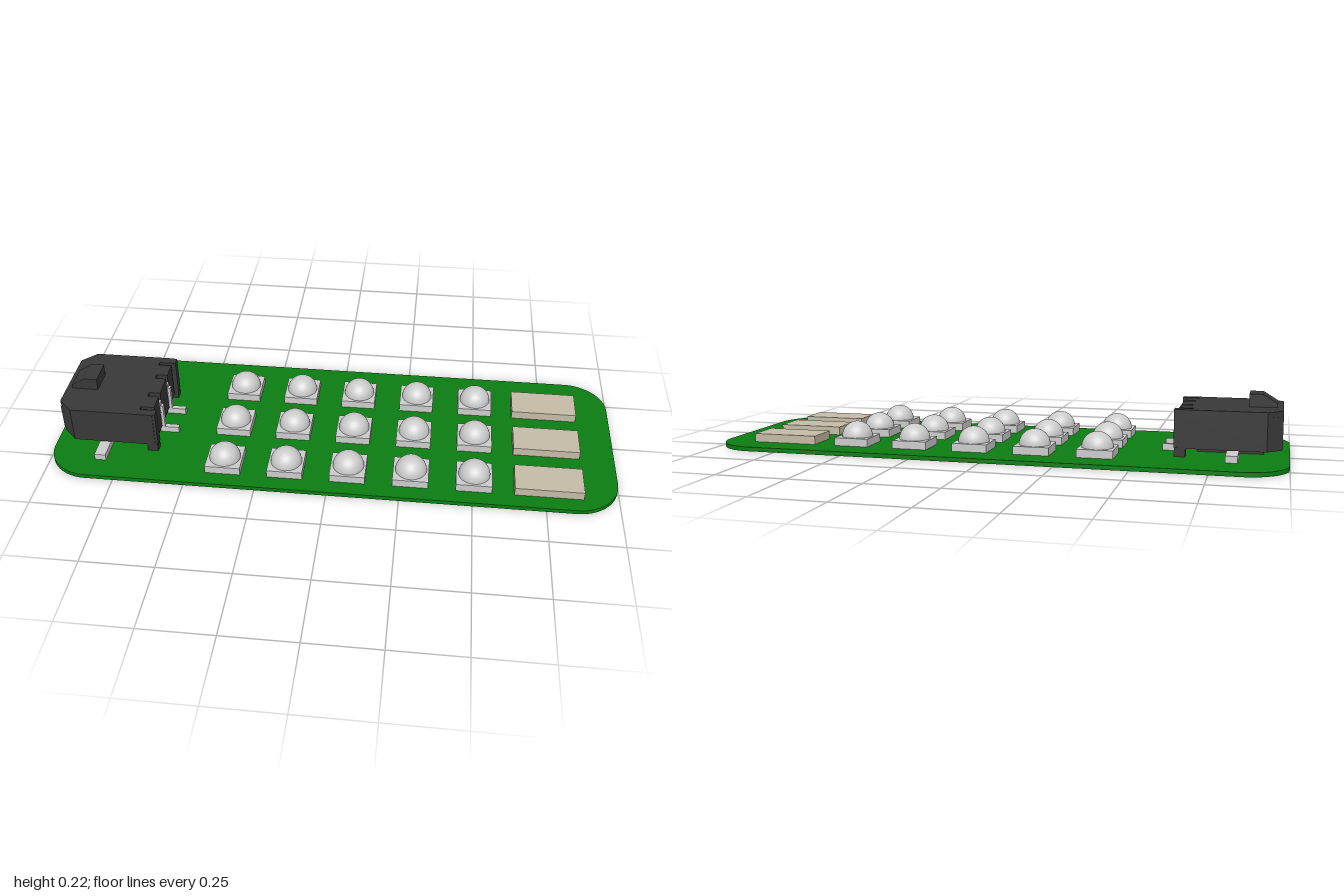
import * as THREE from 'three';

const mat = (color) => new THREE.MeshStandardMaterial({ color });
const green = mat(0x0b7d12), dark = mat(0x383838), metal = mat(0xcccccc);
const lens = mat(0xcccccc), ledBase = mat(0xbdbdbd), ceramic = mat(0xc4bba6);

function add(parent, name, geometry, material, x = 0, y = 0, z = 0) {
  const mesh = new THREE.Mesh(geometry, material);
  mesh.name = name;
  mesh.position.set(x, y, z);
  parent.add(mesh);
  return mesh;
}

// Box given by its minimum and maximum on each axis
function box(parent, name, material, [x0, x1], [y0, y1], [z0, z1]) {
  return add(parent, name, new THREE.BoxGeometry(x1 - x0, y1 - y0, z1 - z0), material,
    (x0 + x1) / 2, (y0 + y1) / 2, (z0 + z1) / 2);
}

// Plan shape raised vertically
function slab(shape, height) {
  return new THREE.ExtrudeGeometry(shape, { depth: height, bevelEnabled: false, curveSegments: 12 })
    .rotateX(-Math.PI / 2);
}

// Symmetric outline from the half with positive second coordinate
function mirrored(half) {
  const other = half.map(([x, z]) => [x, -z]).reverse();
  return new THREE.Shape([...half, ...other].map(([x, z]) => new THREE.Vector2(x, z)));
}

function makeBoard() {
  const w = 1, d = 0.358, r = 0.15;
  const s = new THREE.Shape();
  s.moveTo(-w + r, -d);
  s.lineTo(w - r, -d);
  s.absarc(w - r, -d + r, r, -Math.PI / 2, 0);
  s.absarc(w - r, d - r, r, 0, Math.PI / 2);
  s.absarc(-w + r, d - r, r, Math.PI / 2, Math.PI);
  s.absarc(-w + r, -d + r, r, Math.PI, Math.PI * 1.5);
  return slab(s, 0.015);
}

function makeConnector() {
  const g = new THREE.Group();
  g.name = 'connector';
  g.position.z = 0.028;

  // Contact end with narrow slots for the retention tabs and the pins
  const rear = [
    [-0.63, 0.175], [-0.63, 0.173], [-0.62, 0.173], [-0.62, 0.144], [-0.68, 0.144],
    [-0.68, 0.129], [-0.632, 0.129], [-0.632, 0.066], [-0.672, 0.066], [-0.672, 0.044], [-0.632, 0.044],
  ];
  const chamfer = [[-0.975, 0.125], [-0.925, 0.175]];
  const solid = mirrored([...chamfer, ...rear]);
  // Middle layer is hollowed by two sockets open at the mating end
  const hollow = mirrored([[-0.975, 0.012], [-0.73, 0.012], [-0.73, 0.13], [-0.975, 0.13],
    [-0.97, 0.132], [-0.925, 0.175], ...rear]);
  add(g, 'housingFloor', slab(solid, 0.018), dark, 0, 0.043, 0);
  add(g, 'housingWalls', slab(hollow, 0.096), dark, 0, 0.061, 0);
  add(g, 'housingRoof', slab(solid, 0.018), dark, 0, 0.157, 0);

  // Sloped latch on the roof
  const latch = new THREE.Shape([[-0.955, 0.17], [-0.86, 0.17], [-0.86, 0.219], [-0.905, 0.219], [-0.955, 0.188]]
    .map(([x, y]) => new THREE.Vector2(x, y)));
  add(g, 'latch', new THREE.ExtrudeGeometry(latch, { depth: 0.094, bevelEnabled: false }), dark, 0, 0, -0.047);

  for (const side of [-1, 1]) {
    const span = (a, b) => (side > 0 ? [a, b] : [-b, -a]);
    box(g, 'housingLeg', dark, [-0.66, -0.622], [0.015, 0.045], span(0.144, 0.175));
    box(g, 'housingFoot', dark, [-0.915, -0.69], [0.015, 0.045], span(0.02, 0.06));
    // Solder tab on the flank
    box(g, 'solderTab', metal, [-0.835, -0.795], [0.015, 0.038], span(0.13, 0.245));
    box(g, 'retentionTab', metal, [-0.678, -0.67], [0.115, 0.15], span(0.129, 0.144));
    // Contact pin: upright blade with a foot on the board
    box(g, 'pinBlade', metal, [-0.672, -0.63], [0.06, 0.145], span(0.045, 0.065));
    box(g, 'pinDrop', metal, [-0.64, -0.622], [0.015, 0.13], span(0.046, 0.064));
    box(g, 'pinFoot', metal, [-0.64, -0.572], [0.015, 0.038], span(0.046, 0.064));
  }
  return g;
}

export function createModel() {
  const model = new THREE.Group();
  model.name = 'lightBoard';
  add(model, 'board', makeBoard(), green);
  model.add(makeConnector());

  const baseGeo = new THREE.BoxGeometry(0.124, 0.028, 0.124);
  const domeGeo = new THREE.SphereGeometry(0.055, 28, 12, 0, Math.PI * 2, 0, Math.PI / 2);
  const resistorGeo = new THREE.BoxGeometry(0.235, 0.03, 0.125);
  for (let row = 0; row < 3; row++) {
    const z = -0.188 + row * 0.2135;
    for (let col = 0; col < 5; col++) {
      const led = new THREE.Group();
      led.name = 'led';
      led.position.set(-0.37 + col * 0.2185, 0.015, z);
      add(led, 'ledBase', baseGeo, ledBase, 0, 0.014, 0);
      add(led, 'ledDome', domeGeo, lens, 0, 0.027, 0);
      model.add(led);
    }
    add(model, 'resistor', resistorGeo, ceramic, 0.76, 0.03, z);
  }
  return model;
}
